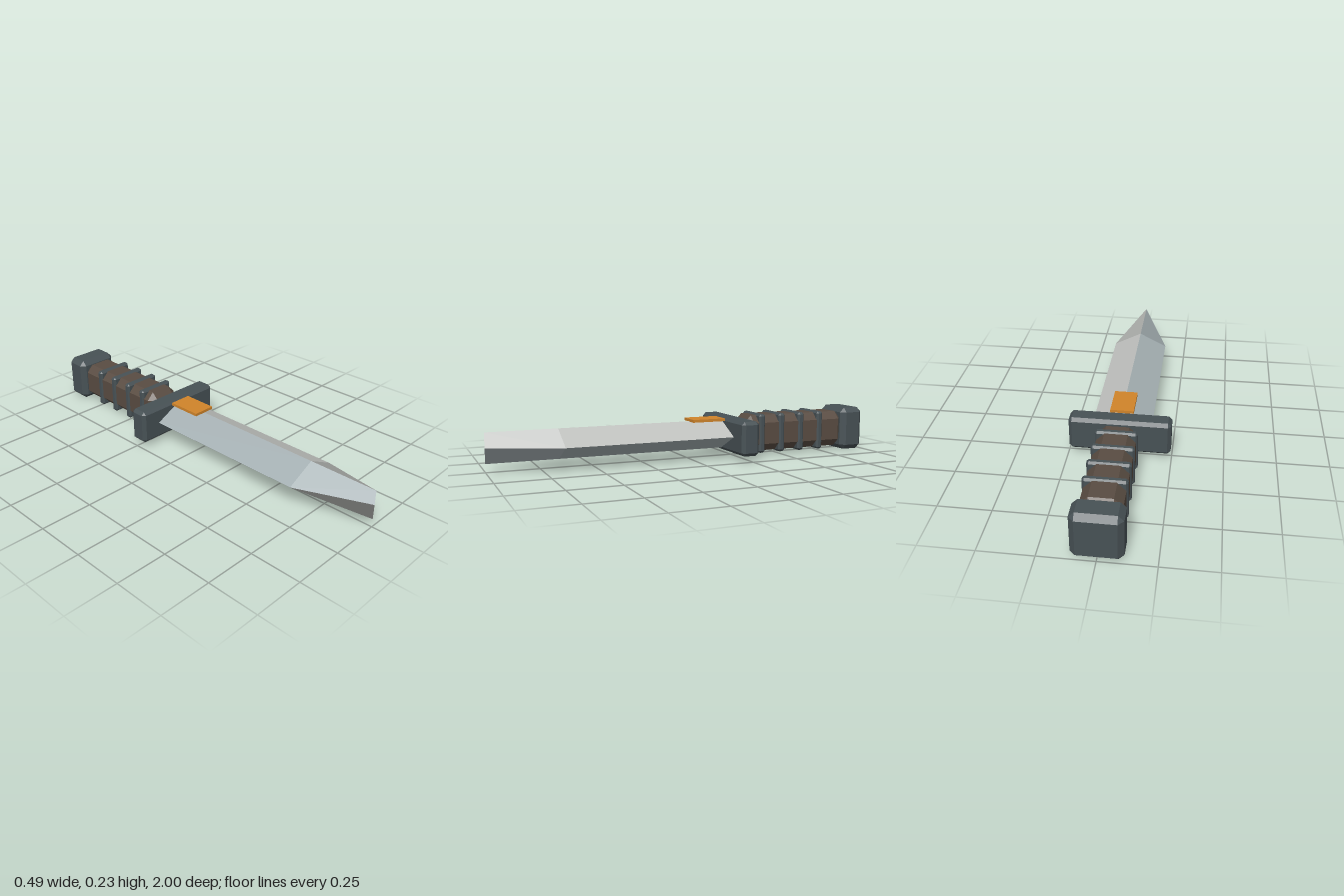
import * as THREE from 'three';
import { ConvexGeometry } from 'three/addons/geometries/ConvexGeometry.js';

const MID = 0.1135; // height of the long axis

const material = (name, color) => {
  const m = new THREE.MeshStandardMaterial({ color });
  m.name = name;
  return m;
};

// Box with every edge and corner cut off by the bevel b
function chamferedBox(w, h, d, b) {
  const points = [];
  for (const sx of [-1, 1]) for (const sy of [-1, 1]) for (const sz of [-1, 1]) {
    for (let axis = 0; axis < 3; axis++) {
      const half = [w / 2 - b, h / 2 - b, d / 2 - b];
      half[axis] += b;
      points.push(new THREE.Vector3(sx * half[0], sy * half[1], sz * half[2]));
    }
  }
  return new ConvexGeometry(points);
}

// Diamond blade: straight body, then a tip that closes to an upright edge
function bladeGeometry() {
  const w = 0.145, h = 0.073;
  const section = (z, width) => [
    [width, 0], [0, h], [-width, 0], [0, -h],
  ].map(([x, y]) => new THREE.Vector3(x, y, z));
  const rings = [section(-0.21, w), section(0.66, w), section(1, 0)];
  const position = [], normal = [];
  const geometry = new THREE.BufferGeometry();

  // One flat-shaded quad; the fold runs from the side edge to the far ridge
  const quad = (a, b, c, d, flip, mat) => {
    const n = c.clone().sub(a).cross(d.clone().sub(b)).normalize();
    const order = flip ? [a, b, d, b, c, d] : [a, b, c, a, c, d];
    geometry.addGroup(position.length / 3, 6, mat);
    for (const p of order) {
      position.push(p.x, p.y, p.z);
      normal.push(n.x, n.y, n.z);
    }
  };
  for (let r = 0; r < 2; r++) for (let k = 0; k < 4; k++) {
    const j = (k + 1) % 4;
    quad(rings[r][k], rings[r][j], rings[r + 1][j], rings[r + 1][k], k % 2 === 1, k % 2);
  }
  const [a, b, c, d] = rings[0];
  quad(d, c, b, a, false, 0); // rear cap
  geometry.setAttribute('position', new THREE.Float32BufferAttribute(position, 3));
  geometry.setAttribute('normal', new THREE.Float32BufferAttribute(normal, 3));
  return geometry;
}

export function createModel() {
  const group = new THREE.Group();
  group.name = 'dagger';
  const lightSteel = material('light steel', 0xbfc1be);
  const blueSteel = material('blue steel', 0xa4afb2);
  const iron = material('dark iron', 0x475155);
  const leather = material('brown leather', 0x594c42);
  const brass = material('orange brass', 0xd0842a);

  const add = (name, geometry, mat, y, z) => {
    const mesh = new THREE.Mesh(geometry, mat);
    mesh.name = name;
    mesh.position.set(0, y, z);
    group.add(mesh);
  };

  add('blade', bladeGeometry(), [lightSteel, blueSteel], MID, 0);
  add('guard', chamferedBox(0.49, 0.172, 0.095, 0.016), iron, MID, -0.2425);
  add('grip', chamferedBox(0.184, 0.187, 0.59, 0.038), leather, MID, -0.595);
  add('pommel', chamferedBox(0.224, 0.227, 0.132, 0.025), iron, MID, -0.934);

  // Raised bands around the grip
  for (let i = 0; i < 4; i++) {
    add('gripBand', chamferedBox(0.198, 0.201, 0.036, 0.01), iron, MID, -0.385 - i * 0.116);
  }

  // Plate on top of the blade by the guard
  add('brassPlate', new THREE.BoxGeometry(0.114, 0.014, 0.175), brass, 0.192, -0.1);
  return group;
}
